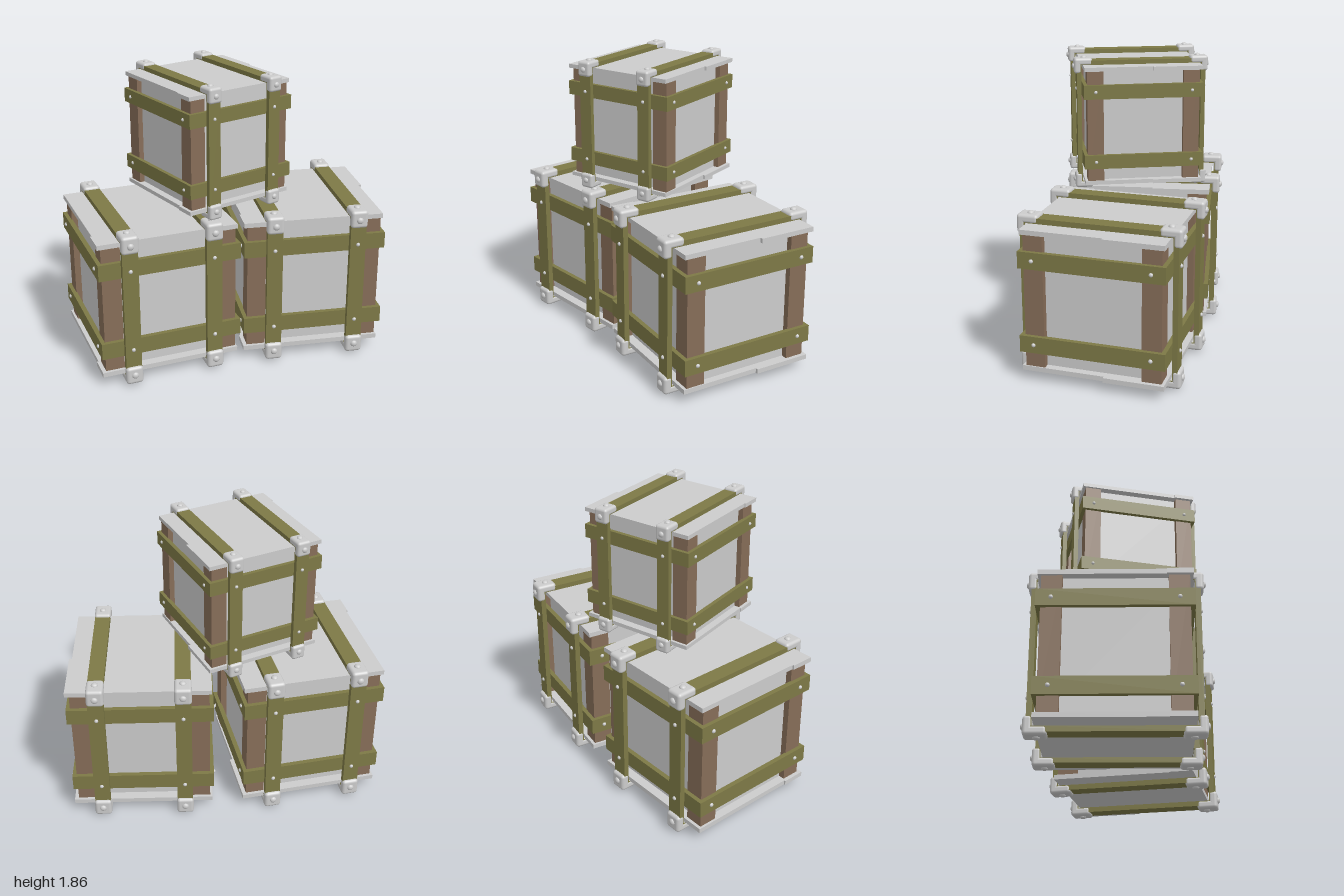
import * as THREE from 'three';
import { RoundedBoxGeometry } from 'three/addons/geometries/RoundedBoxGeometry.js';

const grey = new THREE.MeshStandardMaterial({ color: 0xcccccc });
const wood = new THREE.MeshStandardMaterial({ color: 0x866d58 });
const olive = new THREE.MeshStandardMaterial({ color: 0x7d7946 });

function add(parent, name, geometry, material, x = 0, y = 0, z = 0) {
  const mesh = new THREE.Mesh(geometry, material);
  mesh.name = name;
  mesh.position.set(x, y, z);
  parent.add(mesh);
  return mesh;
}

// Rectangular hoop in the XY plane, extruded along z and centred
function hoop(halfX, halfY, thickness, width) {
  const rect = (a, b) => [[-a, -b], [a, -b], [a, b], [-a, b]].map(p => new THREE.Vector2(...p));
  const shape = new THREE.Shape(rect(halfX, halfY));
  shape.holes.push(new THREE.Path(rect(halfX - thickness, halfY - thickness).reverse()));
  return new THREE.ExtrudeGeometry(shape, { depth: width, bevelEnabled: false }).translate(0, 0, -width / 2);
}

// Lid board with slightly stepped plank ends on both sides
function lidGeometry() {
  const outline = [[-0.445, -0.44], [0.455, -0.44], [0.455, -0.07], [0.437, -0.07],
    [0.437, 0.44], [-0.455, 0.44], [-0.455, 0.29], [-0.445, 0.29]];
  const shape = new THREE.Shape(outline.map(p => new THREE.Vector2(...p)));
  return new THREE.ExtrudeGeometry(shape, { depth: 0.03, bevelEnabled: false })
    .rotateX(Math.PI / 2).translate(0, 0.015, 0);
}

// Domed rivet pointing along +y
function rivetGeometry(radius, height) {
  return new THREE.SphereGeometry(radius, 12, 5, 0, Math.PI * 2, 0, Math.PI / 2).scale(1, height / radius, 1);
}

const lid = lidGeometry();
const post = new THREE.BoxGeometry(0.12, 0.83, 0.12);
const band = hoop(0.455, 0.447, 0.03, 0.105).rotateX(Math.PI / 2);
const strap = hoop(0.485, 0.478, 0.033, 0.1).rotateY(Math.PI / 2);
const capTop = new RoundedBoxGeometry(0.108, 0.055, 0.135, 3, 0.02);
const capFace = new RoundedBoxGeometry(0.108, 0.115, 0.055, 3, 0.02);
const bigRivet = rivetGeometry(0.022, 0.016);
const smallRivet = rivetGeometry(0.013, 0.012);
const UP = new THREE.Vector3(0, 1, 0);

function rivet(parent, geometry, position, direction) {
  add(parent, 'rivet', geometry, grey, ...position)
    .quaternion.setFromUnitVectors(UP, new THREE.Vector3(...direction));
}

function createCrate(name) {
  const crate = new THREE.Group();
  crate.name = name;
  add(crate, 'panels', new THREE.BoxGeometry(0.78, 0.83, 0.76), grey);

  for (const x of [-1, 1]) for (const z of [-1, 1])
    add(crate, 'cornerPost', post, wood, x * 0.37, 0, z * 0.36);

  for (const y of [-1, 1]) {
    add(crate, y > 0 ? 'lid' : 'base', lid, grey, 0, y * 0.43, 0);
    add(crate, 'horizontalBand', band, olive, 0, y * 0.265, 0);
    for (const x of [-1, 1]) for (const z of [-1, 1])
      rivet(crate, smallRivet, [x * 0.455, y * 0.265, z * 0.36], [x, 0, 0]);
  }

  // Vertical straps with metal corner caps
  for (const x of [-0.267, 0.267]) {
    add(crate, 'verticalStrap', strap, olive, x, 0, 0);
    for (const y of [-1, 1]) for (const z of [-1, 1]) {
      add(crate, 'capTop', capTop, grey, x, y * 0.469, z * 0.437);
      add(crate, 'capFace', capFace, grey, x, y * 0.439, z * 0.477);
      rivet(crate, bigRivet, [x, y * 0.495, z * 0.43], [0, y, 0]);
      rivet(crate, bigRivet, [x, y * 0.435, z * 0.503], [0, 0, z]);
      rivet(crate, smallRivet, [x, y * 0.265, z * 0.485], [0, 0, z]);
    }
  }
  return crate;
}

export function createModel() {
  const model = new THREE.Group();
  model.name = 'crateStack';
  // name, x, y, z, turn in degrees, scale
  const crates = [
    ['rightCrate', -0.52, 0.511, -0.03, 4, 1],
    ['leftCrate', 0.49, 0.511, 0.01, -7, 1],
    ['topCrate', -0.13, 1.44, -0.01, 18, 0.82],
  ];
  for (const [name, x, y, z, turn, scale] of crates) {
    const crate = createCrate(name);
    crate.position.set(x, y, z);
    crate.rotation.y = THREE.MathUtils.degToRad(turn);
    crate.scale.setScalar(scale);
    model.add(crate);
  }
  return model;
}
